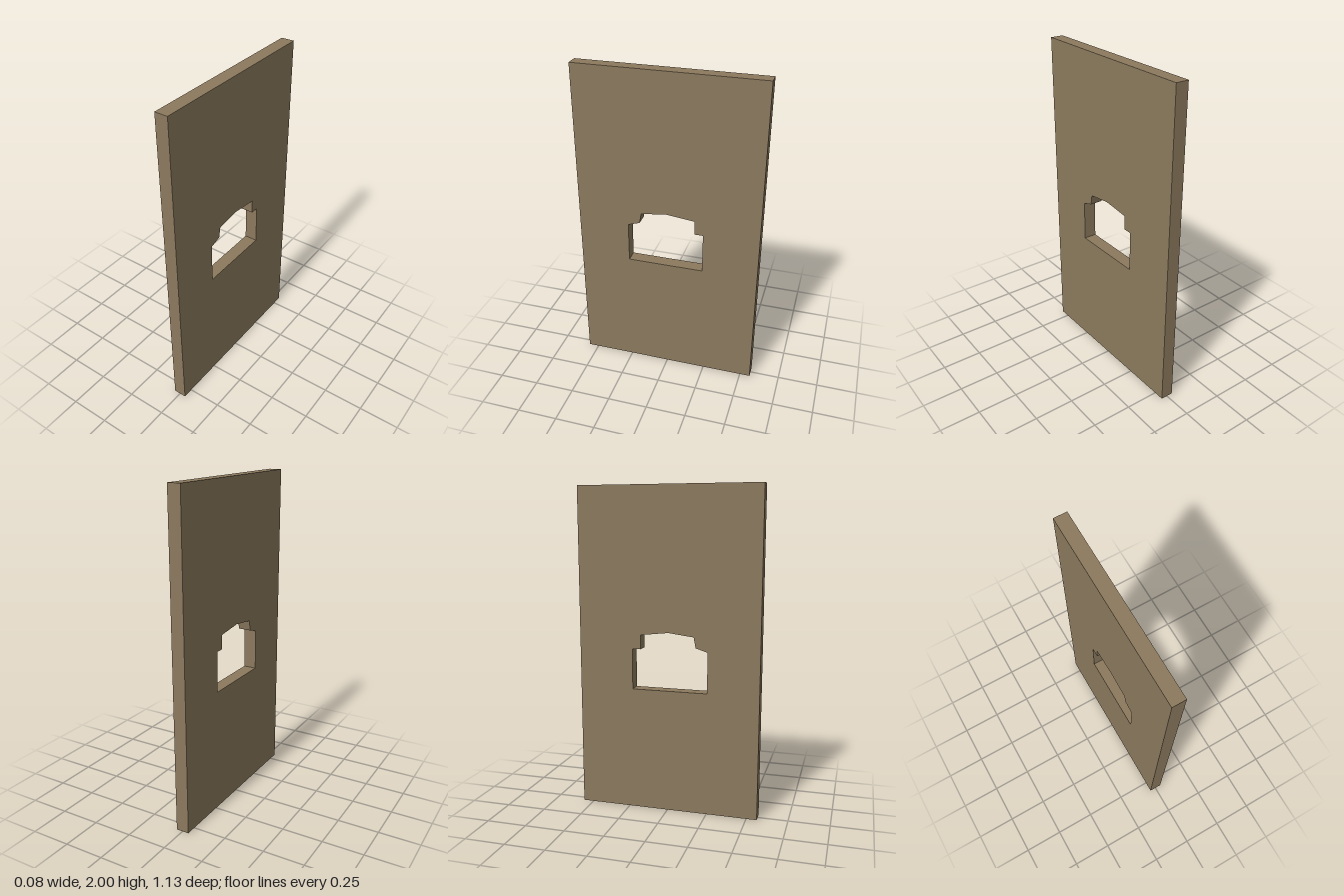
import * as THREE from 'three';

const THICKNESS = 0.08;
const HALF_DEPTH = 0.565;
const HEIGHT = 2;

export function createModel() {
  const group = new THREE.Group();
  group.name = 'wallWithBrokenOpening';

  // Wall outline, drawn as (z, y)
  const outline = new THREE.Shape([
    [-HALF_DEPTH, 0], [HALF_DEPTH, 0], [HALF_DEPTH, HEIGHT], [-HALF_DEPTH, HEIGHT],
  ].map(([z, y]) => new THREE.Vector2(z, y)));

  // Opening with a straight sill and a ragged, stepped head
  outline.holes.push(new THREE.Path([
    [0.248, 0.768], [0.248, 1.02], [0.175, 1.043], [0.163, 1.108], [0.005, 1.128],
    [-0.17, 1.108], [-0.17, 1.02], [-0.223, 1.02], [-0.223, 0.768],
  ].map(([z, y]) => new THREE.Vector2(z, y))));

  // Extrude through the thickness, then turn the slab so its faces look along x
  const geometry = new THREE.ExtrudeGeometry(outline, { depth: THICKNESS, bevelEnabled: false });
  geometry.translate(0, 0, -THICKNESS / 2);
  geometry.rotateY(-Math.PI / 2);

  const wall = new THREE.Mesh(geometry, new THREE.MeshStandardMaterial({ color: 0x8c7a5e }));
  wall.name = 'wallPanel';
  group.add(wall);
  return group;
}
